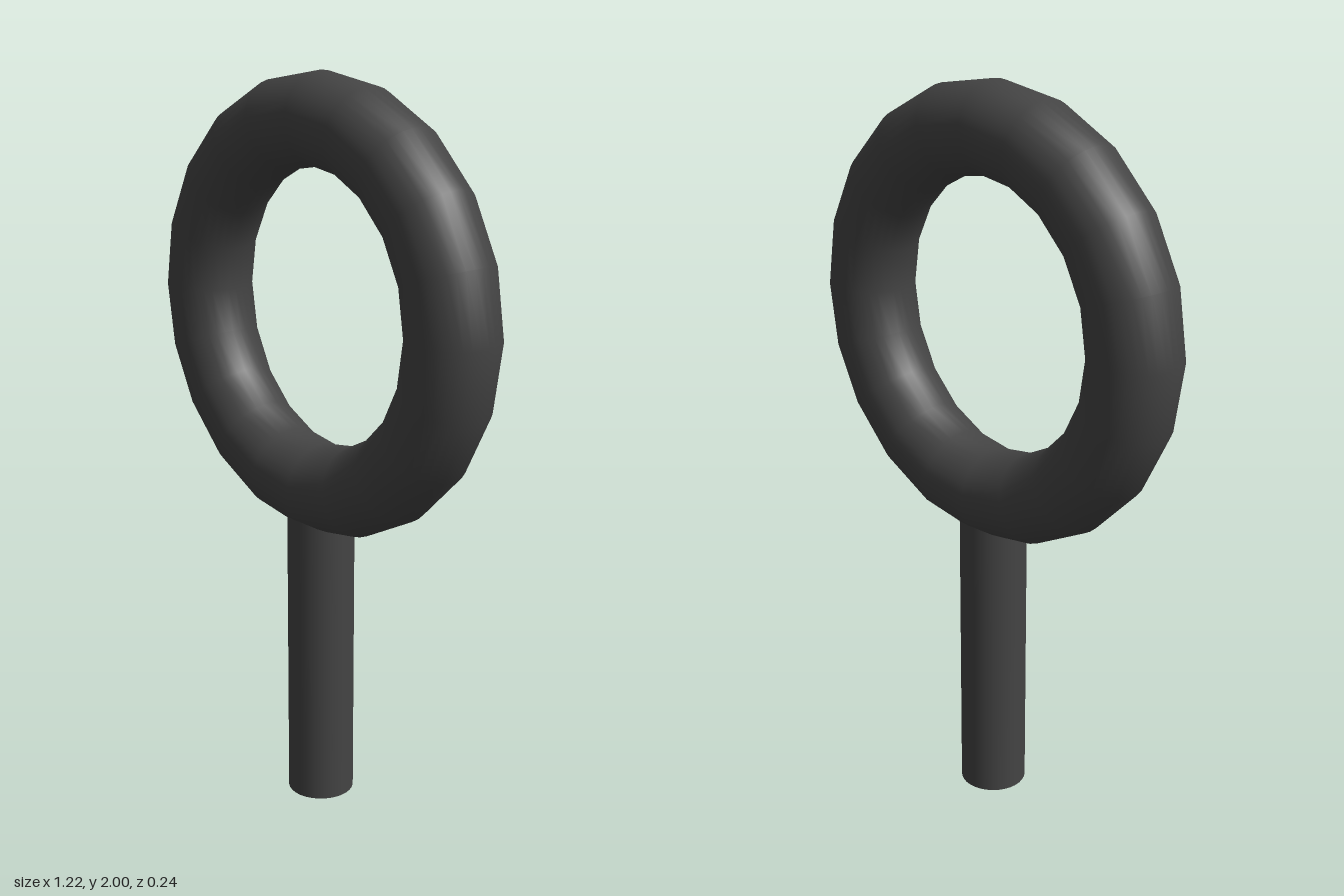
import * as THREE from 'three';

export function createModel() {
  const group = new THREE.Group();
  const material = new THREE.MeshStandardMaterial({ color: 0x444444 });

  const add = (name, geometry, y) => {
    const mesh = new THREE.Mesh(geometry, material);
    mesh.name = name;
    mesh.position.y = y;
    group.add(mesh);
  };

  // Upright ring: smooth tube, 20 segments around
  add('ring', new THREE.TorusGeometry(0.49, 0.12, 32, 20), 1.39);

  // Round post, its top buried in the ring's tube
  const postHeight = 0.88;
  add('post', new THREE.CylinderGeometry(0.092, 0.092, postHeight, 32), postHeight / 2);

  return group;
}
